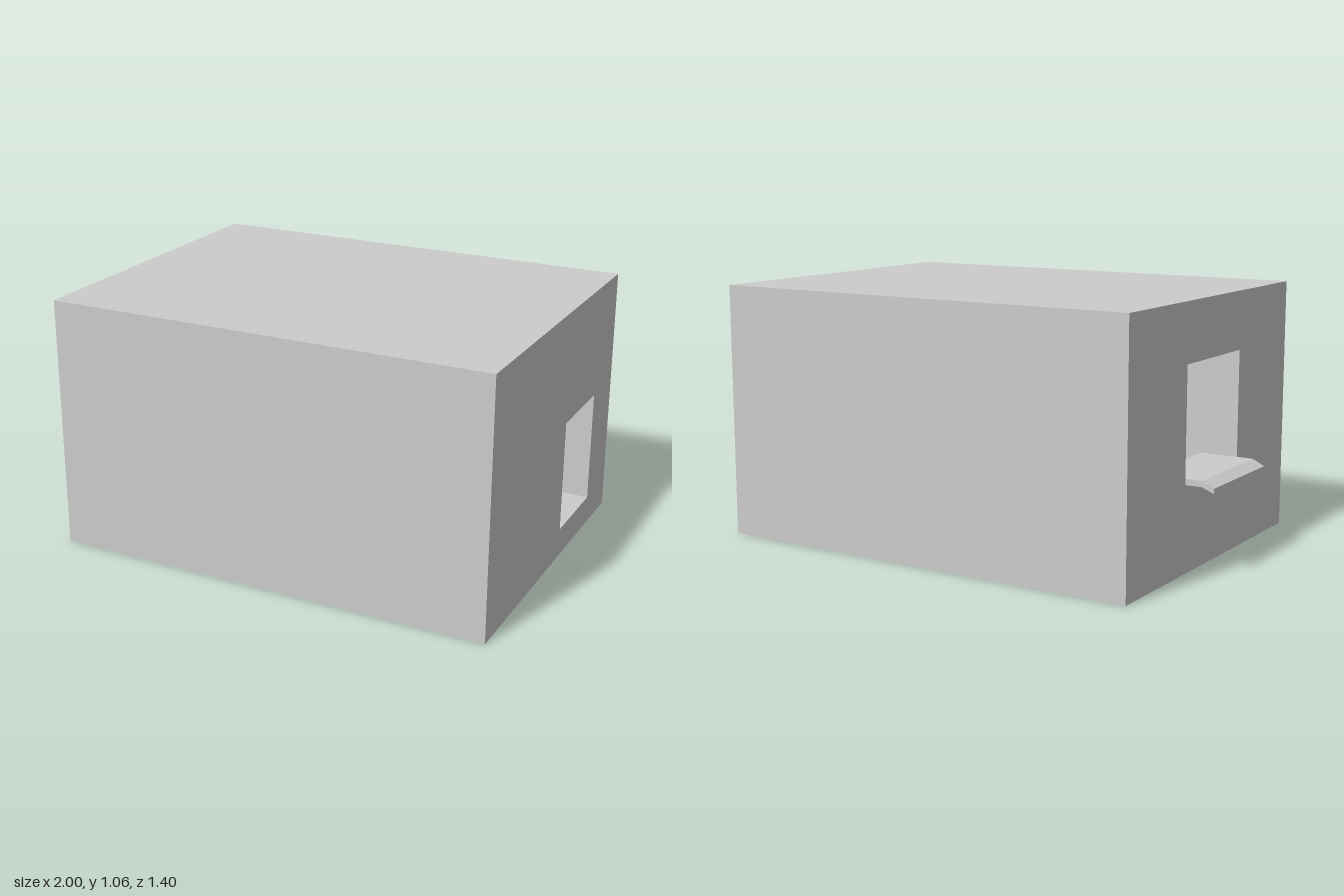
import * as THREE from 'three';

const WALL = 0.12;
const X0 = -0.88, X1 = 1, HEIGHT = 1.06, HALF_Z = 0.7;

const material = new THREE.MeshStandardMaterial({ color: 0xcccccc, flatShading: true });

function rect(Type, u0, v0, u1, v1) {
  const path = new Type();
  path.moveTo(u0, v0);
  path.lineTo(u1, v0);
  path.lineTo(u1, v1);
  path.lineTo(u0, v1);
  path.closePath();
  return path;
}

function polygon(points) {
  return new THREE.Shape(points.map(([x, y]) => new THREE.Vector2(x, y)));
}

function extrude(shape, depth) {
  return new THREE.ExtrudeGeometry(shape, { depth, bevelEnabled: false });
}

// Upright slab across x with one rectangular opening (u runs along -z)
function slab(opening, x, depth) {
  const shape = rect(THREE.Shape, -HALF_Z, 0, HALF_Z, HEIGHT);
  shape.holes.push(rect(THREE.Path, ...opening));
  return extrude(shape, depth).rotateY(Math.PI / 2).translate(x, 0, 0);
}

export function createModel() {
  const group = new THREE.Group();
  const add = (name, geometry) => {
    const mesh = new THREE.Mesh(geometry, material);
    mesh.name = name;
    group.add(mesh);
  };

  // Floor, roof, front and back as one hollow sleeve
  const inside = [-HALF_Z + WALL, WALL, HALF_Z - WALL, HEIGHT - WALL];
  add('roomShell', slab(inside, X0 + WALL, X1 - X0 - 2 * WALL));

  // End walls with the doorway and the serving window
  add('doorWall', slab([0.113, WALL, 0.47, 0.59], X1 - WALL, WALL));
  add('windowWall', slab([-0.235, 0.355, 0.235, 0.82], X0, WALL));

  // Window sill with a lip bent down at its outer end
  const sill = polygon([
    [-1, 0.335], [-0.95, 0.355], [-0.72, 0.355],
    [-0.72, 0.38], [-0.95, 0.38], [-1, 0.355],
  ]);
  add('windowSill', extrude(sill, 0.47).translate(0, 0, -0.235));

  // Thin angular plate lying on the floor inside the doorway
  const plate = polygon([
    [0.56, 0.21], [0.67, 0.21], [0.67, 0.285],
    [0.8, 0.375], [0.78, 0.43], [0.6, 0.43],
  ]);
  add('floorPlate', extrude(plate, 0.022).rotateX(-Math.PI / 2).translate(0, WALL, 0));

  return group;
}
